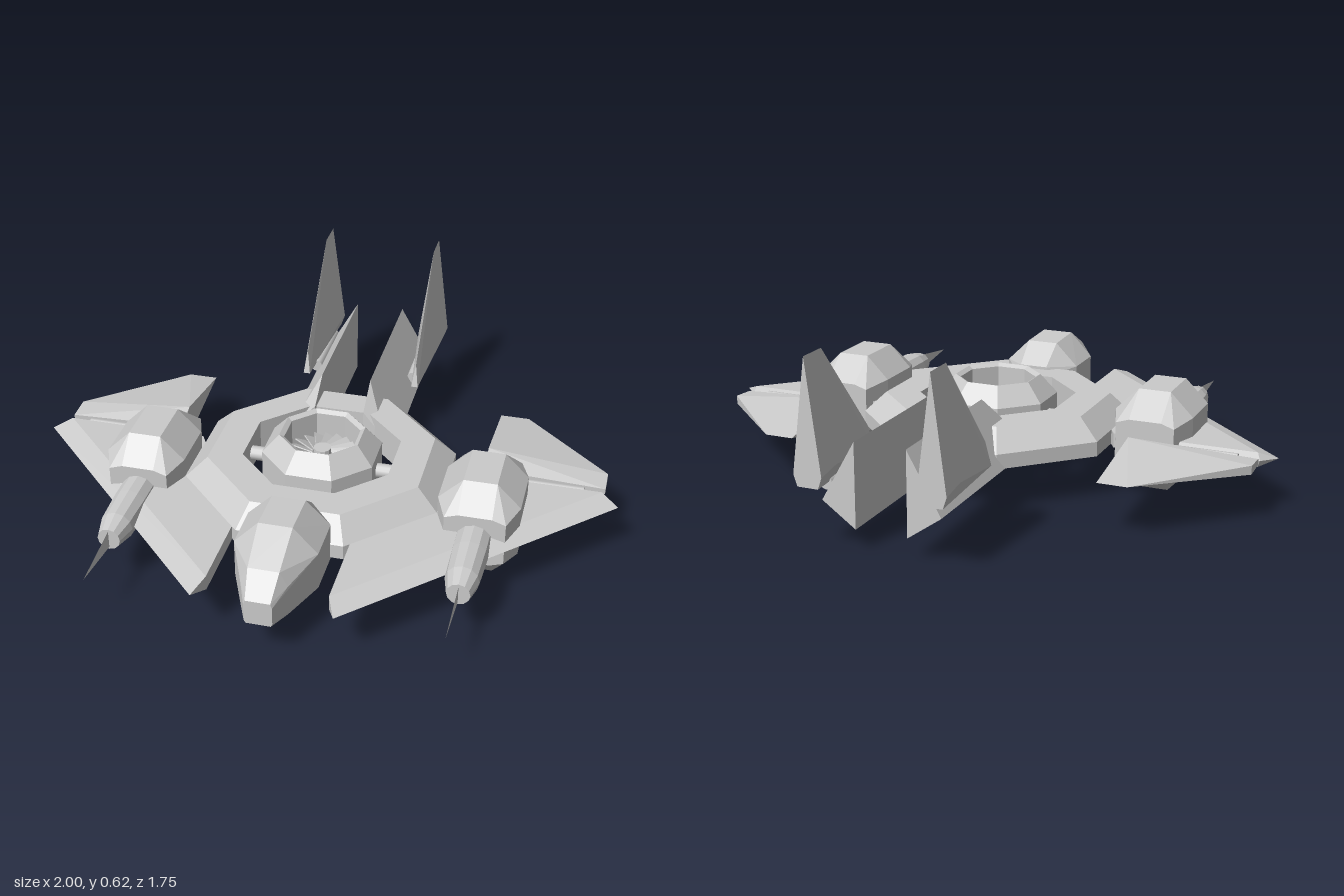
import * as THREE from 'three';
import { ConvexGeometry } from 'three/addons/geometries/ConvexGeometry.js';

export function createModel() {
  const model = new THREE.Group();
  const mat = new THREE.MeshStandardMaterial({ color: 0xcccccc, flatShading: true });
  const thin = new THREE.MeshStandardMaterial({ color: 0xcccccc, flatShading: true, side: THREE.DoubleSide });
  const smooth = new THREE.MeshStandardMaterial({ color: 0xcccccc });

  function add(name, geometry, parent = model, material = mat) {
    const mesh = new THREE.Mesh(geometry, material);
    mesh.name = name;
    parent.add(mesh);
    return mesh;
  }
  // Faceted solid around a few corner points, mirrored in x by s
  const hull = (pts, s = 1) =>
    new ConvexGeometry(pts.map(([x, y, z]) => new THREE.Vector3(x * s, y, z)));
  // Octagonal lathe; profile radii are measured to the flats
  const octagon = (profile) => new THREE.LatheGeometry(
    profile.map(([r, y]) => new THREE.Vector2(r / Math.cos(Math.PI / 8), y)), 8, Math.PI / 8);
  // Corners of an octagonal section at z: half width, half flat, y levels from bottom to top
  const section = (z, w, f, y0, y1, y2, y3) => [-1, 1].flatMap((m) => [
    [m * f, y0, z], [m * w, y1, z], [m * w, y2, z], [m * f, y3, z]]);

  // Octagonal hull ring with a chamfered outer rim
  add('hullRing', octagon([[0.43, 0.15], [0.43, 0.2], [0.36, 0.27], [0.25, 0.27], [0.25, 0.15], [0.43, 0.15]]))
    .position.z = 0.09;

  // Cockpit
  add('cockpit', hull([
    ...section(0.42, 0.065, 0.05, 0.13, 0.15, 0.25, 0.28),
    ...section(0.51, 0.135, 0.055, 0.085, 0.14, 0.27, 0.35),
    ...section(0.665, 0.135, 0.055, 0.065, 0.14, 0.27, 0.355),
    ...section(0.8, 0.075, 0.05, 0.105, 0.13, 0.235, 0.285),
    ...section(0.87, 0.045, 0.04, 0.13, 0.14, 0.2, 0.215)]));

  // Lift fan: nacelle, hub and twisted blades
  const fan = new THREE.Group();
  fan.name = 'liftFan';
  fan.position.set(0, 0.212, 0.09);
  model.add(fan);
  add('fanNacelle', octagon([[0.135, -0.125], [0.19, -0.06], [0.19, 0.06], [0.135, 0.125],
    [0.12, 0.115], [0.12, -0.115], [0.135, -0.125]]), fan);
  add('fanHub', new THREE.CylinderGeometry(0.03, 0.035, 0.12, 12), fan);
  const blades = 20;
  for (let i = 0; i < blades; i++) {
    const arm = new THREE.Group();
    arm.name = 'fanBladeArm';
    arm.rotation.y = (i / blades) * Math.PI * 2;
    fan.add(arm);
    const blade = add('fanBlade', new THREE.BoxGeometry(0.095, 0.004, 0.045), arm);
    blade.position.set(0.075, 0.03, 0);
    blade.rotation.x = 0.5;
  }

  for (const s of [1, -1]) {
    const side = new THREE.Group();
    side.name = s > 0 ? 'leftSide' : 'rightSide';
    model.add(side);

    // Strut holding the fan
    const strut = add('fanStrut', new THREE.CylinderGeometry(0.025, 0.025, 0.1, 12), side, smooth);
    strut.rotation.z = Math.PI / 2;
    strut.position.set(s * 0.225, 0.21, 0.09);

    // Front wing with a sharp leading edge
    const wing = [[0.225, 0.175, 0.84], [1, 0.175, 0.06], [0.95, 0.175, 0.01]];
    for (const y of [0.15, 0.2]) {
      wing.push([0.195, y, 0.77], [0.94, y, 0.02], [0.45, y, 0.02], [0.195, y, 0.46]);
    }
    add('frontWing', hull(wing, s), side);

    // Rear wing, thickest at its inner front ridge
    const rear = [[0.54, 0.18, -0.405], [0.64, 0.18, -0.405]];
    for (const m of [-1, 1]) {
      rear.push([0.54, 0.18 + m * 0.025, -0.015], [0.95, 0.18 + m * 0.01, -0.015],
        [0.54, 0.18 + m * 0.055, -0.1], [0.95, 0.18 + m * 0.015, -0.1]);
    }
    add('rearWing', hull(rear, s), side);
    const hinge = add('wingHinge', new THREE.CylinderGeometry(0.016, 0.016, 0.28, 10), side, smooth);
    hinge.rotation.z = Math.PI / 2;
    hinge.position.set(s * 0.74, 0.178, 0);

    // Engine pod
    const pod = add('enginePod', hull([
      ...section(-0.012, 0.1, 0.055, 0.085, 0.1, 0.25, 0.265),
      ...section(0.09, 0.135, 0.055, 0, 0.085, 0.265, 0.345),
      ...section(0.27, 0.135, 0.055, 0, 0.085, 0.265, 0.345),
      ...section(0.355, 0.1, 0.055, 0.085, 0.1, 0.25, 0.265)]), side);
    pod.position.x = s * 0.567;

    // Gun barrel with a thin upright blade at its muzzle
    const gun = new THREE.Group();
    gun.name = 'gun';
    gun.position.set(s * 0.567, 0.175, 0);
    side.add(gun);
    const barrel = add('gunBarrel', new THREE.LatheGeometry(
      [[0, 0.3], [0.06, 0.3], [0.06, 0.44], [0.055, 0.565], [0.038, 0.635], [0, 0.635]]
        .map(([r, y]) => new THREE.Vector2(r, y)), 12), gun);
    barrel.rotation.x = Math.PI / 2;
    const tip = new THREE.Shape([[0.6, -0.035], [0.85, 0], [0.6, 0.035]]
      .map(([x, y]) => new THREE.Vector2(x, y)));
    add('gunBlade', new THREE.ShapeGeometry(tip), gun, thin).rotation.y = -Math.PI / 2;

    // Tail boom with a triangular section and wedge front
    add('tailBoom', hull([
      [0.087, 0.28, -0.145], [0.087, 0.14, -0.145], [0.17, 0.2, -0.12],
      [0.087, 0.35, -0.25], [0.2, 0.15, -0.25], [0.087, 0.07, -0.25],
      [0.087, 0.35, -0.8], [0.2, 0.15, -0.8], [0.087, 0.07, -0.8]], s), side);
    const rod = add('boomRod', new THREE.CylinderGeometry(0.022, 0.022, 0.26, 12), side, smooth);
    rod.rotation.x = Math.PI / 2;
    rod.position.set(s * 0.185, 0.207, -0.67);

    // Tail fin: wedge in plan, narrowing to a sharp top edge
    const fin = [[0.205, 0.62, -0.77], [0.205, 0.62, -0.875], [0.205, 0.295, -0.49]];
    for (const m of [-1, 1]) {
      fin.push([0.205 + m * 0.048, 0.265, -0.78], [0.205 + m * 0.048, 0.25, -0.875],
        [0.205 + m * 0.012, 0.212, -0.47], [0.205 + m * 0.035, 0.212, -0.875]);
    }
    add('tailFin', hull(fin, s), side);
  }
  return model;
}
